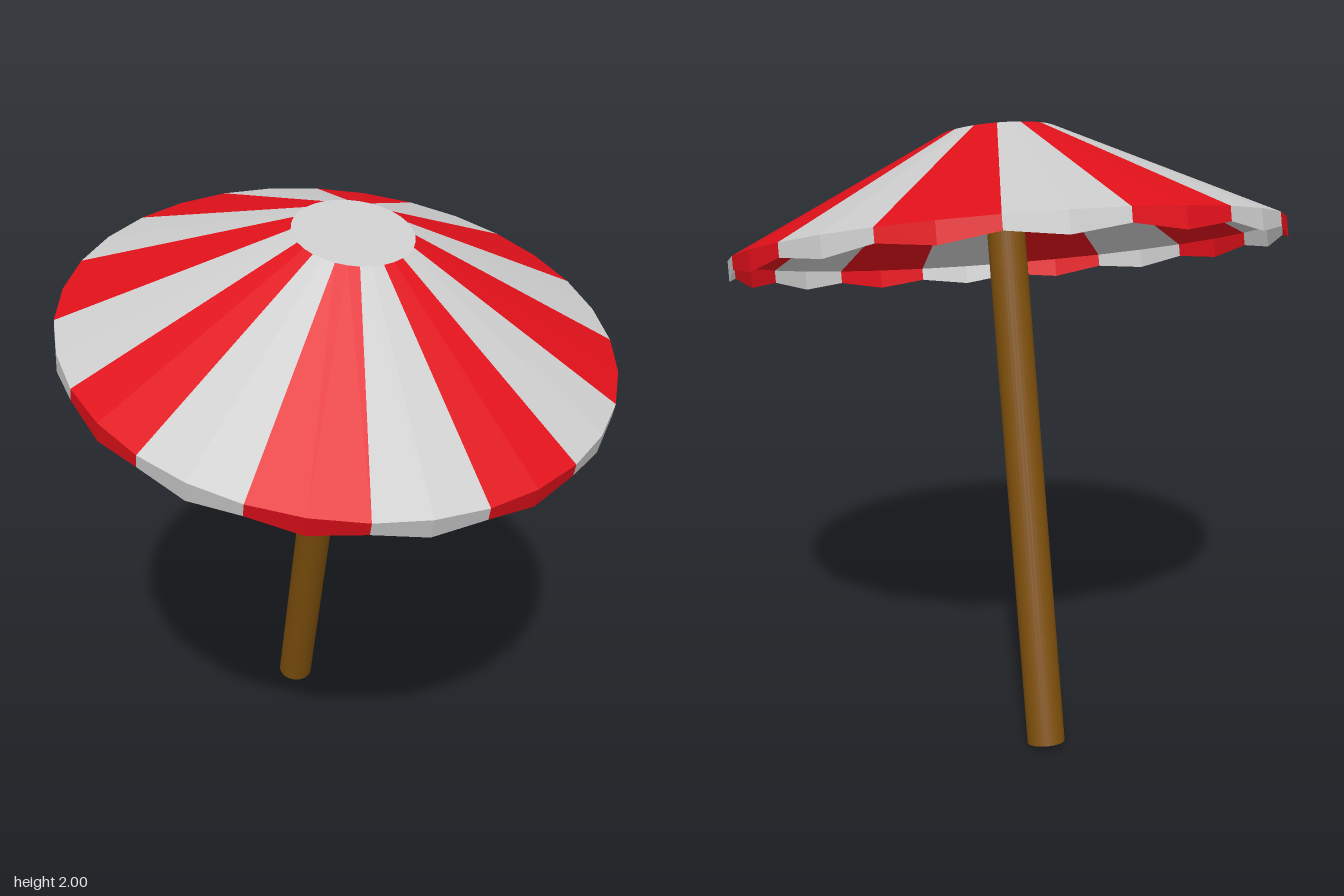
import * as THREE from 'three';

const STRIPES = 16;
const CROWN_R = 0.19, RIM_R = 0.897;   // top disc and outer rim
const RIM_Y = -0.36;                   // rim below the crown, along the pole
const HEM_SEAM = 0.043, HEM_MID = 0.066; // hem drop at seams and mid-stripe
const POLE_R = 0.062, POLE_LENGTH = 2.01;

const cloth = (color) => new THREE.MeshStandardMaterial({
  color, flatShading: true, side: THREE.DoubleSide,
});

// One wedge of cloth with its hanging hem; the hem's middle dips lower
function stripeGeometry(start, angle) {
  const profile = [
    new THREE.Vector2(RIM_R, RIM_Y - HEM_SEAM),
    new THREE.Vector2(RIM_R, RIM_Y),
    new THREE.Vector2(CROWN_R, 0),
  ];
  const geometry = new THREE.LatheGeometry(profile, 2, start, angle);
  geometry.attributes.position.setY(profile.length, RIM_Y - HEM_MID);
  return geometry;
}

export function createModel() {
  const model = new THREE.Group();
  model.name = 'parasol';
  const red = cloth(0xe0101a);
  const grey = cloth(0xcccccc);

  // Everything is built around the pole axis, then leaned as one
  const parasol = new THREE.Group();
  parasol.name = 'leaningParasol';

  // Striped canopy
  const canopy = new THREE.Group();
  canopy.name = 'canopy';
  const step = (Math.PI * 2) / STRIPES;
  for (let i = 0; i < STRIPES; i++) {
    const stripe = new THREE.Mesh(stripeGeometry((i + 0.25) * step, step), i % 2 ? grey : red);
    stripe.name = i % 2 ? 'greyStripe' : 'redStripe';
    canopy.add(stripe);
  }

  // Flat disc closing the top
  const crown = new THREE.Mesh(
    new THREE.CircleGeometry(CROWN_R, STRIPES * 2).rotateX(-Math.PI / 2).rotateY(step / 4),
    grey,
  );
  crown.name = 'crown';
  canopy.add(crown);
  parasol.add(canopy);

  // Wooden pole, ending just under the crown
  const pole = new THREE.Mesh(
    new THREE.CylinderGeometry(POLE_R, POLE_R, POLE_LENGTH - 0.005, 32),
    new THREE.MeshStandardMaterial({ color: 0x7d4f0c }),
  );
  pole.name = 'pole';
  pole.position.y = -(POLE_LENGTH + 0.005) / 2;
  parasol.add(pole);

  // Lean towards the front left
  const axis = new THREE.Vector3(0.198, 0.959, 0.201).normalize();
  parasol.quaternion.setFromUnitVectors(new THREE.Vector3(0, 1, 0), axis);
  parasol.position.set(0.072, 1.946, 0.075);
  model.add(parasol);
  return model;
}
